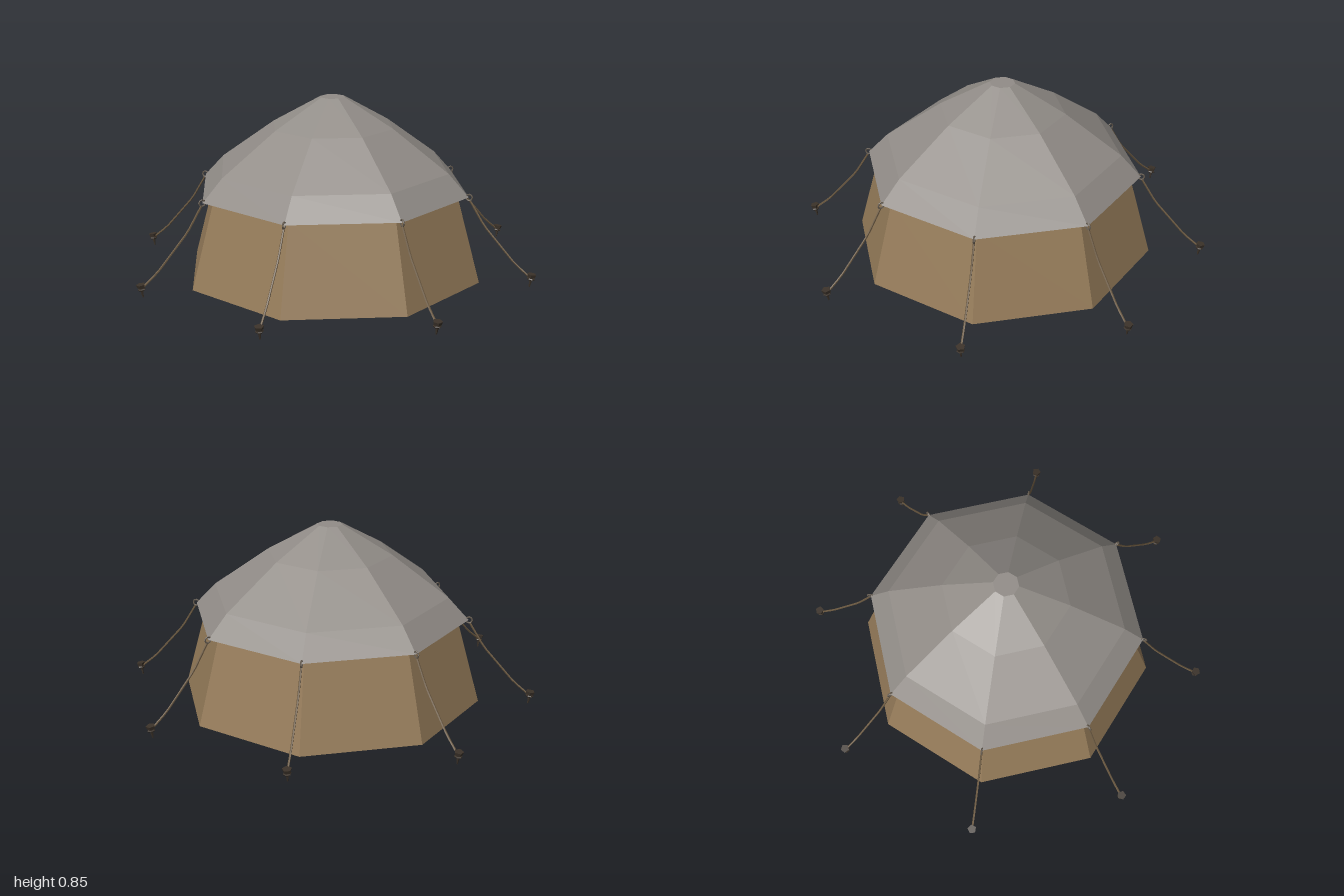
import * as THREE from 'three';

const SIDES = 8;

function material(name, color, extra = {}) {
  const m = new THREE.MeshStandardMaterial({ color, flatShading: true, ...extra });
  m.name = name;
  return m;
}

function part(name, geometry, mat) {
  const mesh = new THREE.Mesh(geometry, mat);
  mesh.name = name;
  return mesh;
}

// Eight-sided surface turned from a radius/height profile, corners on the axes
function octagonal(profile) {
  const g = new THREE.LatheGeometry(profile.map(([r, y]) => new THREE.Vector2(r, y)), SIDES);
  const flat = g.toNonIndexed();
  flat.computeVertexNormals();
  return flat;
}

export function createModel() {
  const roofCloth = material('grey roof cloth', 0x928d88);
  const wallCloth = material('tan wall cloth', 0x967c5a);
  const ropeFibre = material('brown rope', 0x6b5941);
  const ringMetal = material('dark ring', 0x665c50);
  const pegWood = material('dark peg', 0x3b3229);

  const tent = new THREE.Group();
  tent.name = 'tent';

  // Sloping walls, closed by a floor and by the lining under the eaves
  tent.add(part('walls', octagonal([[0.73, 0], [0.615, 0.415]]), wallCloth));
  tent.add(part('floor', octagonal([[0, 0], [0.73, 0]]), wallCloth));
  tent.add(part('eavesLining', octagonal([[0.61, 0.415], [0.668, 0.415]]), wallCloth));

  // Domed roof with a small flat crown
  tent.add(part('roof', octagonal([
    [0.668, 0.415], [0.57, 0.52], [0.3, 0.715], [0.06, 0.852], [0, 0.852],
  ]), roofCloth));

  // Slightly sagging guy rope, in the radial plane
  const ropePath = new THREE.CurvePath();
  const ropePoints = [[0.675, 0.4], [0.745, 0.285], [0.895, 0.115], [0.972, 0.052]]
    .map(([x, y]) => new THREE.Vector3(x, y, 0));
  for (let i = 1; i < ropePoints.length; i++) {
    ropePath.add(new THREE.LineCurve3(ropePoints[i - 1], ropePoints[i]));
  }
  const ropeGeometry = new THREE.TubeGeometry(ropePath, 12, 0.005, 5);
  const ringGeometry = new THREE.TorusGeometry(0.015, 0.004, 5, 8);
  const loopGeometry = new THREE.TorusGeometry(0.014, 0.005, 5, 6);
  const headGeometry = new THREE.CylinderGeometry(0.022, 0.018, 0.016, 5);
  const shaftGeometry = new THREE.CylinderGeometry(0.011, 0.003, 0.056, 5);

  // One ring, rope and leaning peg at every corner
  for (let i = 0; i < SIDES; i++) {
    const guy = new THREE.Group();
    guy.name = 'guyLine';
    guy.rotation.y = (i / SIDES) * Math.PI * 2;

    const ring = part('eyeRing', ringGeometry, ringMetal);
    ring.position.set(0.67, 0.415, 0);
    guy.add(ring, part('rope', ropeGeometry, ropeFibre));

    const peg = new THREE.Group();
    peg.name = 'peg';
    peg.position.set(0.968, 0.008, 0);
    peg.rotation.z = -0.15;
    const shaft = part('pegShaft', shaftGeometry, pegWood);
    shaft.position.y = 0.028;
    const head = part('pegHead', headGeometry, pegWood);
    head.position.y = 0.056;
    const loop = part('ropeLoop', loopGeometry, pegWood);
    loop.rotation.x = Math.PI / 2;
    loop.position.y = 0.04;
    peg.add(shaft, head, loop);
    guy.add(peg);
    tent.add(guy);
  }

  return tent;
}
